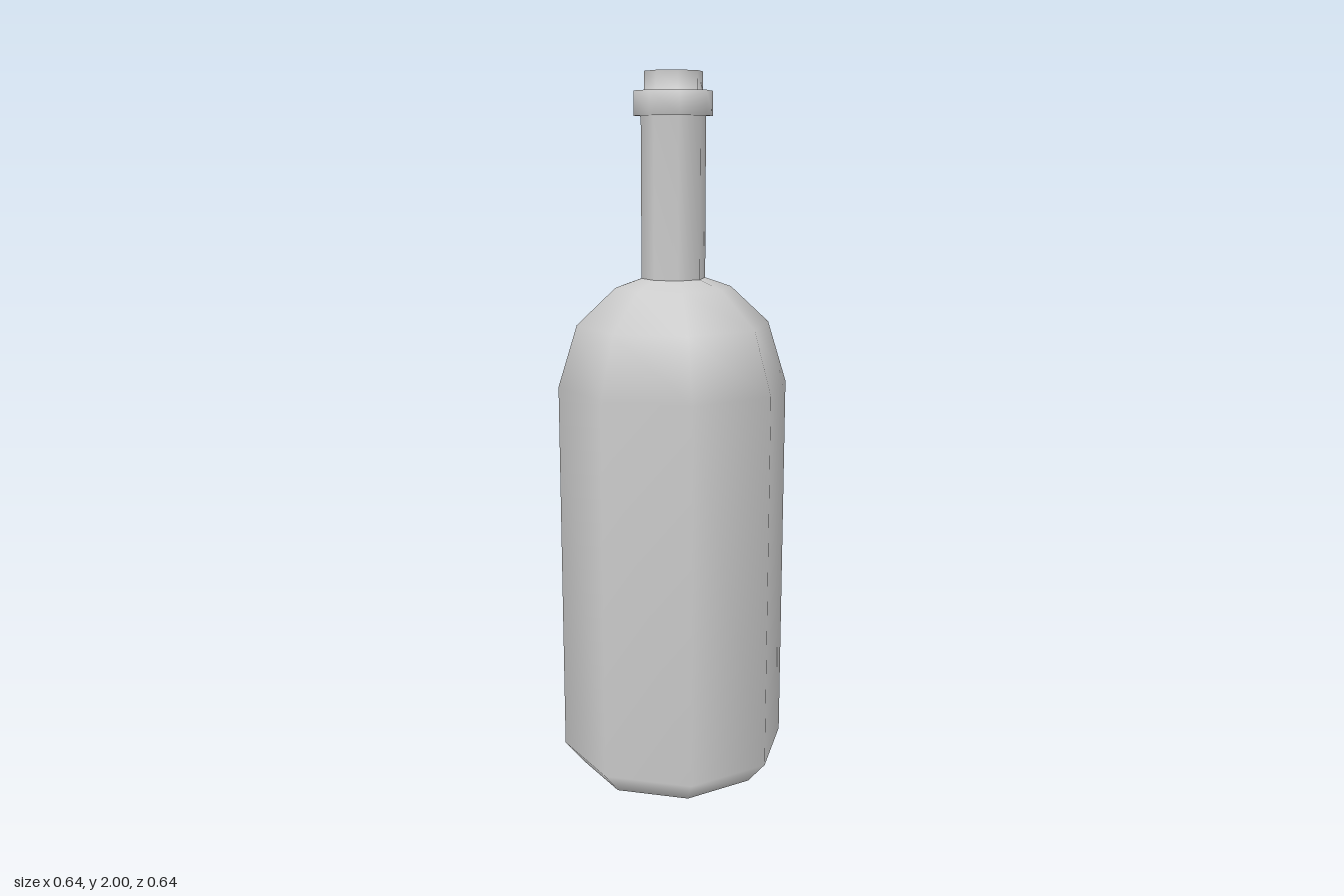
import * as THREE from 'three';

const SIDES = 8;

// Eight-sided, smooth-shaded surface of revolution from [radius, height] pairs
function turned(name, profile, material) {
  const points = profile.map(([r, y]) => new THREE.Vector2(r, y));
  const mesh = new THREE.Mesh(new THREE.LatheGeometry(points, SIDES), material);
  mesh.name = name;
  return mesh;
}

export function createModel() {
  const bottle = new THREE.Group();
  bottle.name = 'bottle';

  // Open at the mouth, so the inside shows too
  const glass = new THREE.MeshStandardMaterial({ color: 0xcccccc, side: THREE.DoubleSide });

  // Base, straight wall and rounded shoulder
  bottle.add(turned('body', [
    [0, 0], [0.165, 0.005], [0.265, 0.035], [0.32, 0.1],
    [0.32, 1.16], [0.267, 1.33], [0.16, 1.43], [0.088, 1.455],
  ], glass));

  // Neck with its collar and the open lip
  bottle.add(turned('neck', [
    [0.088, 1.455], [0.088, 1.885], [0.107, 1.885],
    [0.107, 1.95], [0.079, 1.95], [0.079, 2],
  ], glass));

  return bottle;
}
